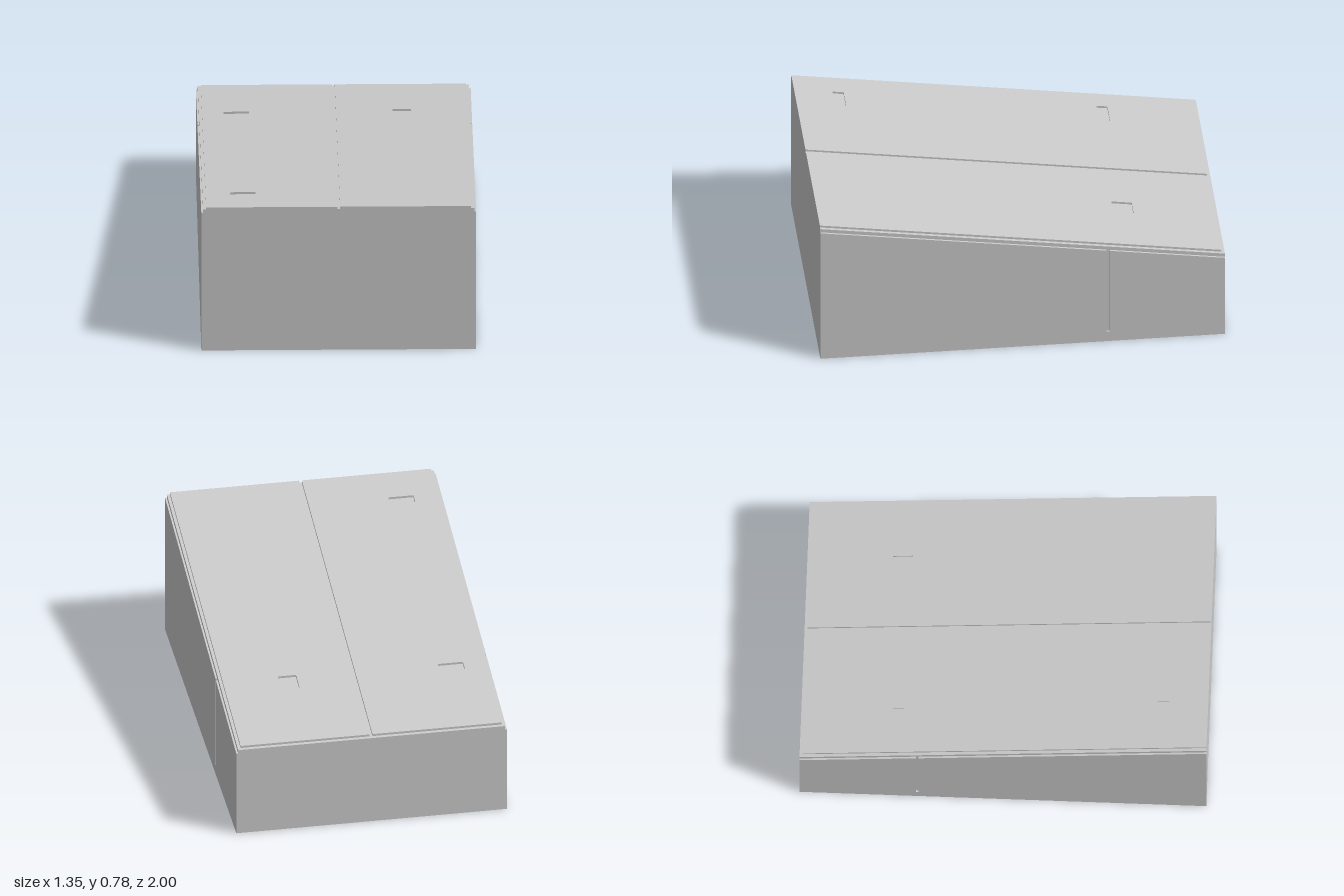
import * as THREE from 'three';

const SLOPE = 0.148;                       // the roof drops towards the back
const roofY = (z, frontY) => frontY + SLOPE * (z - 1);
const material = new THREE.MeshStandardMaterial({ color: 0xcccccc, flatShading: true });

// Side profile given as [z, y] points, extruded along x from x0 to x1
function sideExtrude(name, points, x0, x1) {
  const shape = new THREE.Shape(points.map(([z, y]) => new THREE.Vector2(-z, y)));
  const geo = new THREE.ExtrudeGeometry(shape, { depth: x1 - x0, bevelEnabled: false });
  geo.rotateY(Math.PI / 2).translate(x0, 0, 0);
  const mesh = new THREE.Mesh(geo, material);
  mesh.name = name;
  return mesh;
}

function rectPoints([x0, x1, z0, z1]) {
  return [[x0, -z0], [x0, -z1], [x1, -z1], [x1, -z0]].map(p => new THREE.Vector2(...p));
}

// Door leaf seen from above, with pockets cut through, sheared onto the slope
function door(name, outline, pockets) {
  const shape = new THREE.Shape(rectPoints(outline));
  for (const p of pockets) shape.holes.push(new THREE.Path(rectPoints(p)));
  const geo = new THREE.ExtrudeGeometry(shape, { depth: 0.011, bevelEnabled: false });
  geo.rotateX(-Math.PI / 2);
  const pos = geo.attributes.position;
  for (let i = 0; i < pos.count; i++) {
    pos.setY(i, pos.getY(i) + roofY(pos.getZ(i), 0.769));
  }
  geo.computeVertexNormals();
  const mesh = new THREE.Mesh(geo, material);
  mesh.name = name;
  return mesh;
}

export function createModel() {
  const model = new THREE.Group();
  model.name = 'slopedHatch';

  // Wedge-shaped core, whose top forms the frame under the doors
  model.add(sideExtrude('core', [
    [1, 0], [1, roofY(1, 0.769)], [-1, roofY(-1, 0.769)], [-1, 0],
  ], -0.666, 0.666));

  // Thin side panels, each with a vertical groove
  const wall = z => [z, roofY(z, 0.75)];
  const panel = [
    [1, 0], wall(1), wall(-0.414), [-0.414, 0.057], [-0.428, 0.057], wall(-0.428), wall(-1), [-1, 0],
  ];
  model.add(sideExtrude('leftSidePanel', panel, 0.666, 0.675));
  model.add(sideExtrude('rightSidePanel', panel, -0.675, -0.666));

  // Two door leaves with a gap between them and shallow pockets
  model.add(door('leftDoor', [0.007, 0.651, -0.985, 1], [[0.285, 0.375, -0.58, -0.48]]));
  model.add(door('rightDoor', [-0.651, -0.007, -0.985, 1], [
    [-0.53, -0.405, 0.755, 0.81],
    [-0.545, -0.42, -0.55, -0.495],
  ]));
  return model;
}
